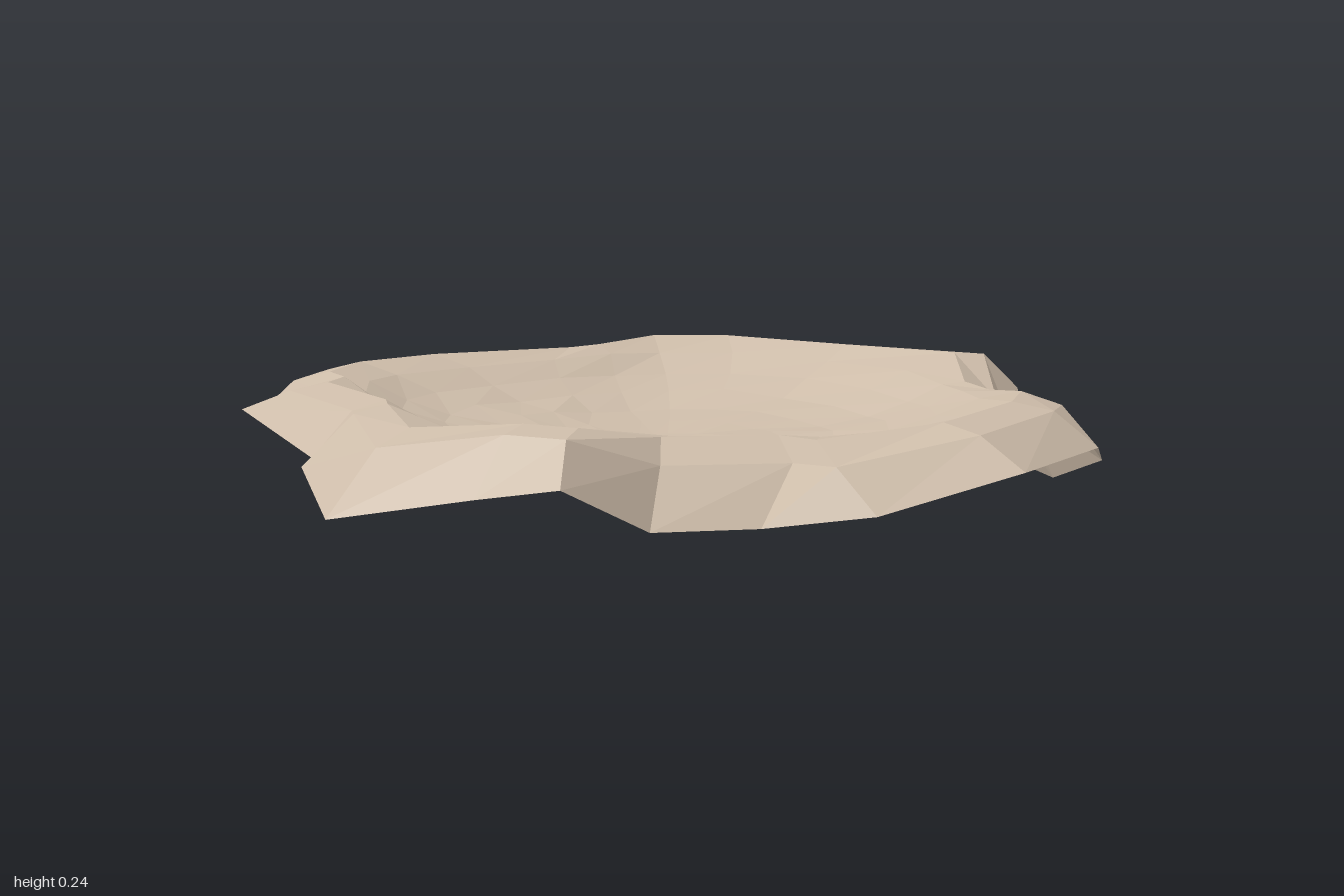
import * as THREE from 'three';

// outer lower edge, back -> left -> front -> right: [x, y, z]
const EDGE = [
  [-0.12, 0.11, -1.0], [0.13, 0.11, -0.95], [0.54, 0.1, -0.77], [0.62, 0.11, -0.7],
  [0.84, 0.16, -0.64], [1.0, 0.04, -0.48], [0.98, 0.09, 0.0], [0.94, 0.14, 0.41],
  [0.65, 0.0, 0.58], [0.55, 0.0, 0.69], [0.45, 0.07, 0.85], [0.15, 0.15, 0.97],
  [-0.25, 0.16, 1.0], [-0.47, 0.09, 0.81], [-0.52, 0.05, 0.59], [-0.67, 0.05, 0.44],
  [-0.85, 0.15, 0.37], [-0.89, 0.12, 0.2], [-1.0, 0.07, -0.07], [-0.82, 0.12, -0.31],
  [-0.73, 0.12, -0.37], [-0.57, 0.17, -0.74], [-0.4, 0.14, -0.8], [-0.36, 0.11, -0.92],
];

// crest of the rim, point for point with the edge
const CREST = [
  [-0.12, 0.2, -0.91], [0.12, 0.2, -0.86], [0.5, 0.19, -0.68], [0.57, 0.2, -0.63],
  [0.77, 0.22, -0.58], [0.89, 0.22, -0.4], [0.89, 0.22, 0.0], [0.85, 0.23, 0.36],
  [0.6, 0.16, 0.52], [0.5, 0.16, 0.64], [0.41, 0.19, 0.77], [0.13, 0.22, 0.88],
  [-0.24, 0.22, 0.9], [-0.45, 0.17, 0.71], [-0.41, 0.16, 0.59], [-0.58, 0.16, 0.4],
  [-0.78, 0.23, 0.33], [-0.8, 0.23, 0.2], [-0.87, 0.19, -0.06], [-0.72, 0.22, -0.26],
  [-0.64, 0.21, -0.34], [-0.5, 0.21, -0.66], [-0.37, 0.2, -0.73], [-0.32, 0.2, -0.83],
];

// bowl rings: [scale of the crest loop, height]
const BOWL = [[0.82, 0.197], [0.73, 0.158], [0.62, 0.127], [0.48, 0.106], [0.33, 0.091], [0.17, 0.082]];
const CENTRE = [0.05, -0.03];

// gentle unevenness of the bowl
const bump = (x, z) =>
  0.007 * Math.sin(9 * x + 4 * z) * Math.cos(8 * z - 3 * x) + 0.004 * Math.sin(21 * x - 17 * z);

const shrink = (p, s, y) => [
  CENTRE[0] + (p[0] - CENTRE[0]) * s, y, CENTRE[1] + (p[2] - CENTRE[1]) * s,
];

// soften a closed loop by averaging each point with its neighbours
function soften(loop) {
  const n = loop.length;
  return loop.map((p, i) => p.map(
    (v, k) => 0.5 * v + 0.25 * (loop[(i + 1) % n][k] + loop[(i + n - 1) % n][k]),
  ));
}

// skin successive loops, optionally closing the last one on a middle point
function skin(loops, middle) {
  const n = loops[0].length;
  const position = loops.flat(2);
  const index = [];
  for (let r = 0; r < loops.length - 1; r++) {
    for (let i = 0; i < n; i++) {
      const j = (i + 1) % n;
      const a = r * n + i, b = r * n + j, c = b + n, d = a + n;
      index.push(a, d, b, b, d, c);
    }
  }
  if (middle) {
    const last = (loops.length - 1) * n;
    position.push(...middle);
    for (let i = 0; i < n; i++) index.push(last + i, last + n, last + ((i + 1) % n));
  }
  const geometry = new THREE.BufferGeometry();
  geometry.setAttribute('position', new THREE.Float32BufferAttribute(position, 3));
  geometry.setIndex(index);
  geometry.computeVertexNormals();
  return geometry;
}

export function createModel() {
  const model = new THREE.Group();
  model.name = 'crater';
  const material = new THREE.MeshStandardMaterial({
    color: 0xcdbca9, flatShading: true, side: THREE.DoubleSide,
  });

  // flat inner lip, slightly higher than the crest
  const lip = CREST.map((p) => shrink(p, 0.9, 0.5 * p[1] + 0.123));

  // sunken bowl, its outline rounder with every ring
  let outline = CREST;
  const rings = BOWL.map(([s, y]) => {
    outline = soften(outline);
    return outline.map((p) => {
      const q = shrink(p, s, y);
      q[1] += bump(q[0], q[2]);
      return q;
    });
  });

  const rim = new THREE.Mesh(skin([EDGE, CREST, lip]), material);
  rim.name = 'rim';
  const bowl = new THREE.Mesh(skin([lip, ...rings], [CENTRE[0], 0.08, CENTRE[1]]), material);
  bowl.name = 'bowl';
  model.add(rim, bowl);
  return model;
}
